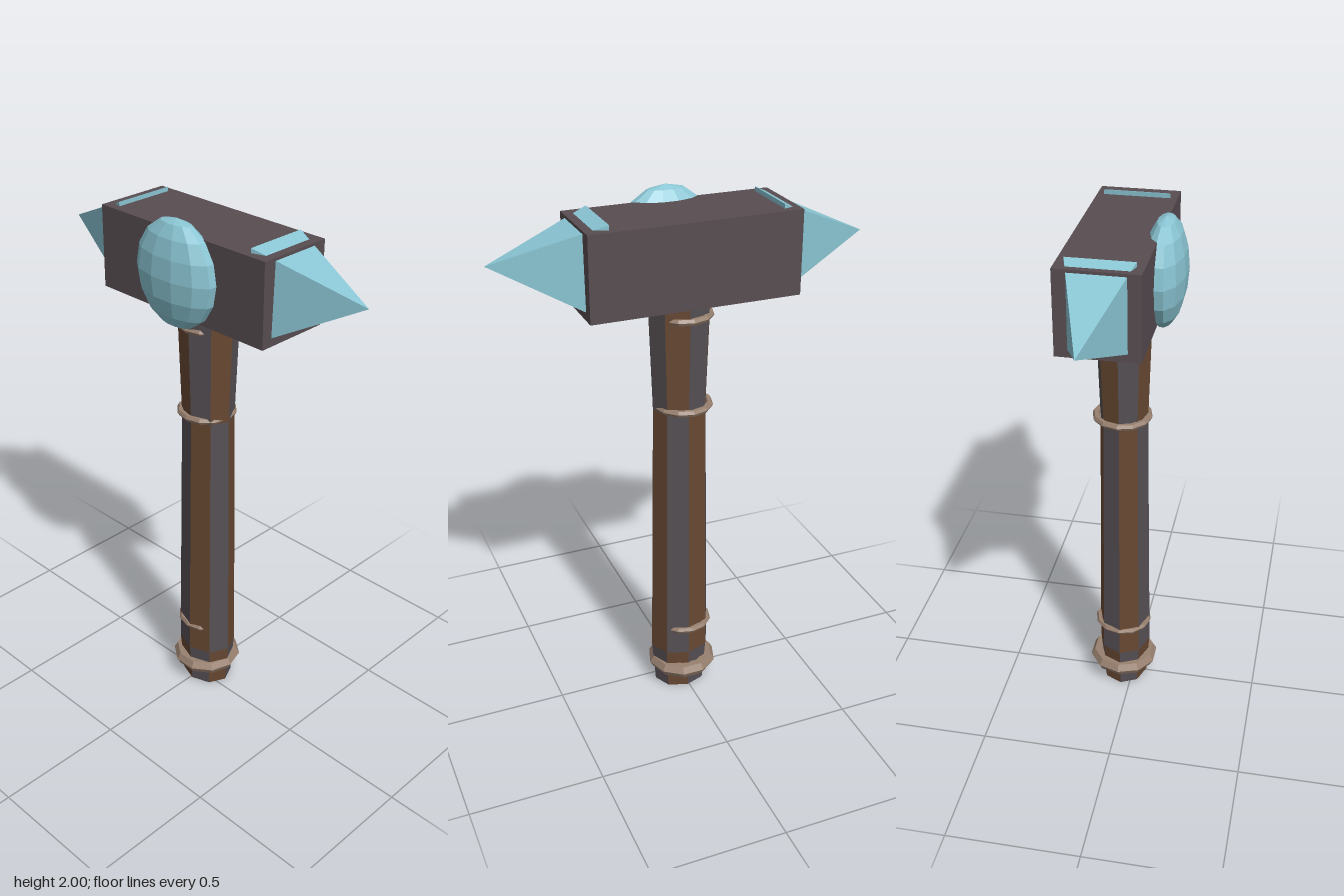
import * as THREE from 'three';

const mat = (color, side = THREE.FrontSide) =>
  new THREE.MeshStandardMaterial({ color, flatShading: true, side });
const CRYSTAL = mat(0x8ac5d3);
const STONE = mat(0x584d52);
const BROWN = mat(0x684832);
const GREY = mat(0x565054);
const CORD = mat(0x98806f);
const CENTRE_Z = -0.04;

function add(group, name, geometry, material, x = 0, y = 0, z = 0) {
  const mesh = new THREE.Mesh(geometry, material);
  mesh.name = name;
  mesh.position.set(x, y, z);
  group.add(mesh);
  return mesh;
}

function facets(positions) {
  const g = new THREE.BufferGeometry();
  g.setAttribute('position', new THREE.Float32BufferAttribute(positions.flat(), 3));
  g.computeVertexNormals();
  return g;
}

// Every second side of an eight-sided shaft, following a [height, radius] profile
function staves(profile, parity) {
  const corner = ([y, r], i) => {
    const a = (i * Math.PI) / 4;
    return [0.007 + r * Math.sin(a), y, -0.036 + 0.86 * r * Math.cos(a)];
  };
  const out = [];
  for (let k = 0; k < profile.length - 1; k++) {
    for (let i = parity; i < 8; i += 2) {
      const a = corner(profile[k], i), b = corner(profile[k], i + 1);
      const c = corner(profile[k + 1], i + 1), d = corner(profile[k + 1], i);
      out.push(a, b, c, a, c, d);
    }
  }
  return facets(out);
}

// Four-sided spike; the base may lean, so top and bottom edges have their own x
function spike(apex, topX, topY, bottomX, bottomY, halfDepth) {
  const s = Math.sign(apex[0]);
  const z = CENTRE_Z - 0.005;
  const base = [
    [topX, topY, z + s * halfDepth], [bottomX, bottomY, z + s * halfDepth],
    [bottomX, bottomY, z - s * halfDepth], [topX, topY, z - s * halfDepth],
  ];
  const out = [];
  for (let i = 0; i < 4; i++) out.push(base[i], base[(i + 1) % 4], apex);
  out.push(base[0], base[3], base[2], base[0], base[2], base[1]);
  return facets(out);
}

export function createModel() {
  const model = new THREE.Group();
  model.name = 'warHammer';

  // Head block and its two crystal spikes
  add(model, 'head', new THREE.BoxGeometry(0.77, 0.305, 0.29), STONE, 0, 1.797, -0.045);
  add(model, 'leftSpike', spike([0.69, 1.84, -0.045], 0.302, 1.966, 0.335, 1.648, 0.12), CRYSTAL);
  add(model, 'rightSpike', spike([-0.695, 1.8, -0.045], -0.325, 1.966, -0.33, 1.652, 0.117), CRYSTAL);

  // Flattened faceted gem on the front of the head
  const gem = new THREE.SphereGeometry(1, 12, 8);
  gem.rotateY(Math.PI / 12);
  gem.scale(0.182, 0.195, 0.078);
  add(model, 'gem', gem, CRYSTAL, 0, 1.805, 0.111);

  // Handle sections, with the stave colours swapping from one to the next
  const handle = new THREE.Group();
  handle.name = 'handle';
  model.add(handle);
  const sections = [
    ['pommel', [[0, 0.104], [0.06, 0.108], [0.17, 0.118]]],
    ['grip', [[0.17, 0.118], [0.29, 0.117], [1.22, 0.104]]],
    ['neck', [[1.22, 0.104], [1.63, 0.119], [1.7, 0.119]]],
  ];
  sections.forEach(([name, profile], i) => {
    add(handle, name + 'BrownStaves', staves(profile, (i + 1) % 2), BROWN);
    add(handle, name + 'GreyStaves', staves(profile, i % 2), GREY);
  });
  const cap = new THREE.CircleGeometry(0.104, 8);
  cap.rotateX(Math.PI / 2);
  cap.scale(1, 1, 0.86);
  add(handle, 'endCap', cap, BROWN, 0.007, 0, -0.036);

  // Cord bindings and the thick collar near the end
  for (const y of [0.28, 1.23, 1.58]) {
    const cord = new THREE.TorusGeometry(0.099, 0.013, 6, 12);
    cord.rotateX(Math.PI / 2);
    add(handle, 'binding', cord, CORD, -0.004, y, CENTRE_Z);
  }
  const collar = new THREE.TorusGeometry(0.107, 0.029, 6, 10);
  collar.rotateX(Math.PI / 2);
  add(handle, 'collar', collar, CORD, 0, 0.09, CENTRE_Z);

  return model;
}
